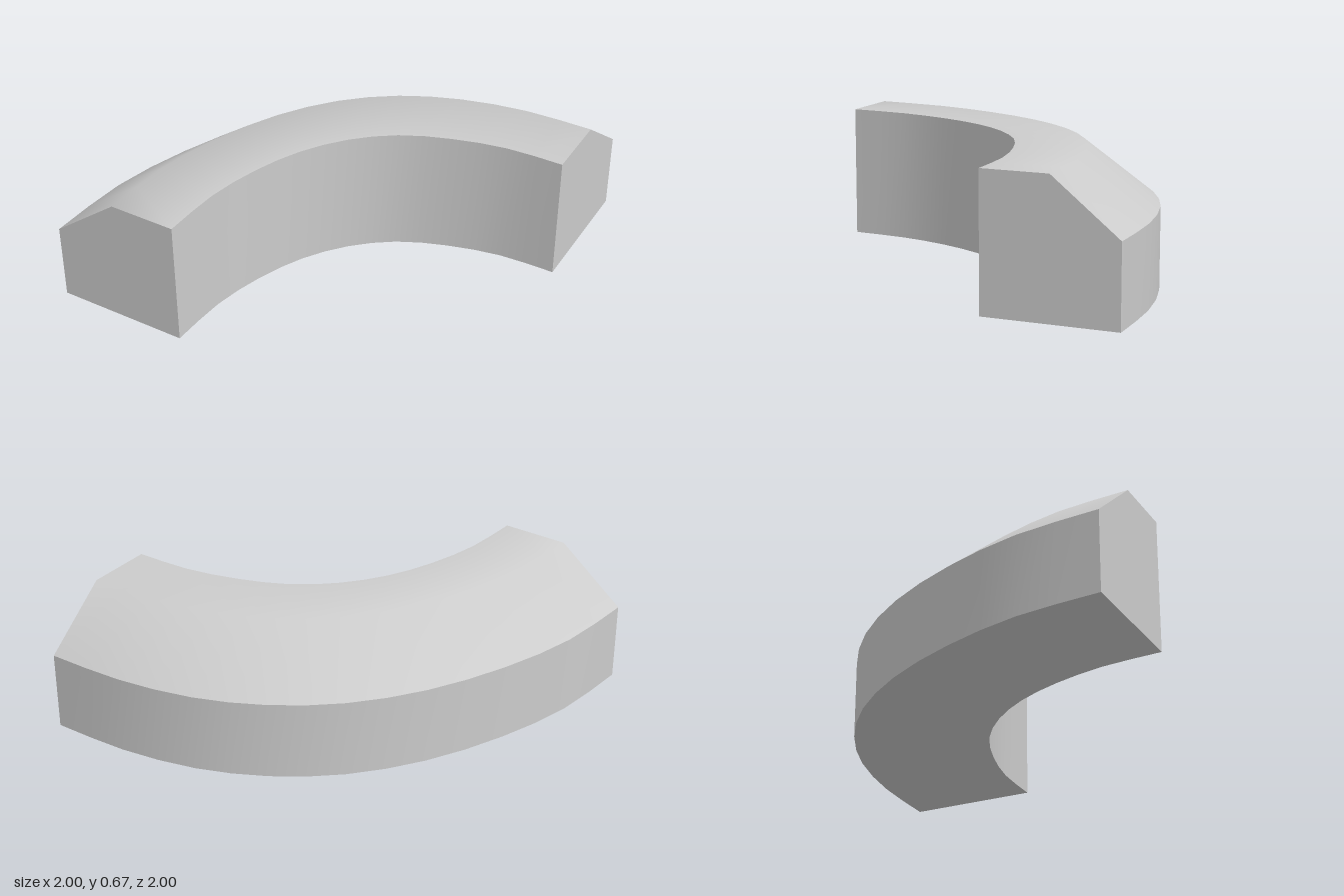
import * as THREE from 'three';
import { toCreasedNormals } from 'three/addons/utils/BufferGeometryUtils.js';

const SEGMENTS = 16;

// Plan curves [x, z], from the front end to the side end
const OUTER = [[-1, 1], [-0.957, 0.578], [-0.834, 0.176], [-0.642, -0.214], [-0.396, -0.529],
  [-0.107, -0.754], [0.219, -0.904], [0.604, -0.984], [1, -1]];
const INNER = [[-0.333, 1], [-0.31, 0.7], [-0.24, 0.433], [-0.134, 0.198], [0.016, 0],
  [0.209, -0.155], [0.449, -0.257], [0.717, -0.321], [1, -0.333]];

// Cross-section [share of the way from inner to outer curve, height]
const PROFILE = [[0, 0], [0, 0.667], [0.5, 0.667], [1, 0.4], [1, 0]];

const planCurve = (points) =>
  new THREE.CatmullRomCurve3(points.map(([x, z]) => new THREE.Vector3(x, 0, z)));

function curvedBlockGeometry() {
  const inner = planCurve(INNER), outer = planCurve(OUTER);
  const rings = [];
  for (let i = 0; i <= SEGMENTS; i++) {
    const a = inner.getPoint(i / SEGMENTS), b = outer.getPoint(i / SEGMENTS);
    rings.push(PROFILE.map(([s, y]) => a.clone().lerp(b, s).setY(y)));
  }

  const positions = [];
  const triangle = (...corners) => corners.forEach((p) => positions.push(p.x, p.y, p.z));
  const n = PROFILE.length;

  // Walls, sloped top and underside
  for (let i = 0; i < SEGMENTS; i++) {
    for (let j = 0; j < n; j++) {
      const k = (j + 1) % n;
      triangle(rings[i][j], rings[i + 1][j], rings[i + 1][k]);
      triangle(rings[i][j], rings[i + 1][k], rings[i][k]);
    }
  }

  // End faces
  const first = rings[0], last = rings[SEGMENTS];
  for (let j = 1; j < n - 1; j++) {
    triangle(first[0], first[j], first[j + 1]);
    triangle(last[0], last[j + 1], last[j]);
  }

  const geometry = new THREE.BufferGeometry();
  geometry.setAttribute('position', new THREE.Float32BufferAttribute(positions, 3));
  // The shallow bend in the top stays smooth, all other edges sharp
  return toCreasedNormals(geometry, THREE.MathUtils.degToRad(44));
}

export function createModel() {
  const group = new THREE.Group();
  group.name = 'curvedCornerBlock';
  const block = new THREE.Mesh(curvedBlockGeometry(), new THREE.MeshStandardMaterial({ color: 0xcccccc }));
  block.name = 'curvedBlock';
  group.add(block);
  return group;
}
